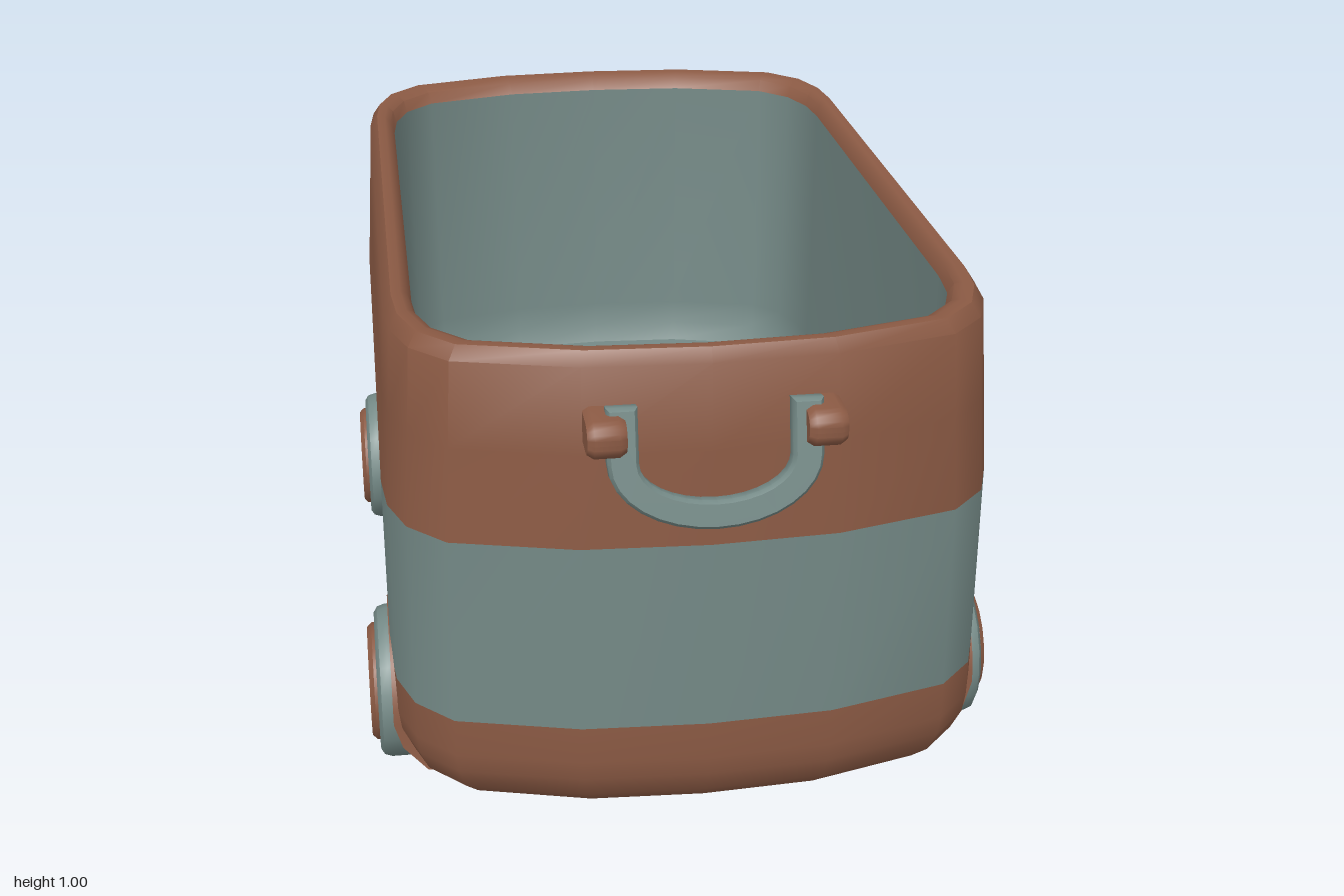
import * as THREE from 'three';
import { toCreasedNormals } from 'three/addons/utils/BufferGeometryUtils.js';

const brown = new THREE.MeshStandardMaterial({ color: 0x8b5a44 });
const teal = new THREE.MeshStandardMaterial({ color: 0x748986 });

function part(name, geometry, material, crease = 0.65) {
  const mesh = new THREE.Mesh(toCreasedNormals(geometry, crease), material);
  mesh.name = name;
  return mesh;
}

// Footprint of the tub: one quarter, mirrored into a closed ring (+x towards +z)
const HX = 0.577, HZ = 0.935;
const quarter = [[HX, 0.6], [0.568, 0.7], [0.536, 0.79], [0.466, 0.862], [0.235, 0.922], [0, HZ]];
const half = [...quarter, ...quarter.slice(0, -1).reverse().map(([x, z]) => [-x, z])];
const ring = [...half, ...half.map(([x, z]) => [-x, -z])];

// Skin through rings given as [inset, height, inset along z]; an inset of null closes to the centre
function loft(profile) {
  const pos = [], index = [], n = ring.length;
  for (const [d, y, dz = d] of profile) {
    const sx = d === null ? 0 : (HX - d) / HX;
    const sz = d === null ? 0 : (HZ - dz) / HZ;
    for (const [x, z] of ring) pos.push(x * sx, y, z * sz);
  }
  for (let j = 0; j < profile.length - 1; j++) {
    for (let i = 0; i < n; i++) {
      const k = (i + 1) % n, a = j * n, b = a + n;
      if (profile[j][0] !== null) index.push(a + i, b + i, a + k);
      if (profile[j + 1][0] !== null) index.push(a + k, b + i, b + k);
    }
  }
  const g = new THREE.BufferGeometry();
  g.setAttribute('position', new THREE.Float32BufferAttribute(pos, 3));
  g.setIndex(index);
  return g;
}

function makeTub() {
  const tub = new THREE.Group();
  tub.name = 'tub';
  tub.add(
    part('lowerShell', loft([[null, 0.064], [0.085, 0.064], [0.05, 0.075], [0.022, 0.105], [0.005, 0.15], [0, 0.19], [0, 0.265]]), brown),
    part('middleBand', loft([[0, 0.265], [0, 0.64]]), teal),
    part('upperShellAndRim', loft([[0, 0.64], [0.011, 0.82], [0.021, 0.982], [0.037, 1.007],
      [0.055, 1.007], [0.067, 0.998, 0.077], [0.075, 0.975, 0.095]]), brown),
    part('liner', loft([[0.075, 0.975, 0.095], [0.082, 0.41, 0.11], [0.086, 0.355, 0.117], [0.097, 0.312, 0.134]]), teal),
    part('floor', loft([[0.097, 0.312, 0.134], [null, 0.312]]), teal)
  );
  return tub;
}

// Wheel with its arch, on the +x side, axle at the group's origin height
function makeWheel() {
  const wheel = new THREE.Group();
  wheel.name = 'wheel';
  const turned = (pts) => new THREE.LatheGeometry(pts.map(([r, x]) => new THREE.Vector2(r, x)), 18).rotateZ(-Math.PI / 2);
  wheel.add(
    part('tyre', turned([[0, 0.525], [0.13, 0.525], [0.147, 0.533], [0.153, 0.55], [0.153, 0.585],
      [0.148, 0.6], [0.137, 0.607], [0.125, 0.607], [0.121, 0.595], [0, 0.595]]), teal),
    part('hubCap', turned([[0.117, 0.59], [0.117, 0.613], [0.108, 0.622], [0, 0.622]]), brown)
  );

  // Arch flush with the tub: its outer face curls inwards towards the feet
  const arch = new THREE.Shape();
  arch.moveTo(0.182, -0.1);
  arch.lineTo(0.174, -0.05);
  arch.absarc(0, 0, 0.17, 0, Math.PI, false);
  arch.lineTo(-0.174, -0.05);
  arch.lineTo(-0.182, -0.1);
  arch.closePath();
  const g = new THREE.ExtrudeGeometry(arch, { depth: 0.08, bevelEnabled: false, curveSegments: 9 });
  g.rotateY(Math.PI / 2).translate(0.499, 0, 0);
  const p = g.attributes.position;
  for (let i = 0; i < p.count; i++) {
    const drop = Math.max(0, -p.getY(i));
    if (p.getX(i) > 0.55) p.setX(i, p.getX(i) - 6.3 * drop * drop);
  }
  wheel.add(part('wheelArch', g, brown));
  return wheel;
}

// Carrying handle on the +z end
function makeHandle() {
  const handle = new THREE.Group();
  handle.name = 'handle';

  // U-shaped grip, hung from its pivots and leaning outwards
  const u = new THREE.Shape();
  u.moveTo(0.19, 0.045);
  u.lineTo(0.19, -0.055);
  u.absellipse(0, -0.055, 0.19, 0.125, 0, Math.PI, true);
  u.lineTo(-0.19, 0.045);
  u.lineTo(-0.135, 0.045);
  u.lineTo(-0.135, -0.055);
  u.absellipse(0, -0.055, 0.135, 0.073, Math.PI, Math.PI * 2, false);
  u.lineTo(0.135, 0.045);
  u.closePath();
  const g = new THREE.ExtrudeGeometry(u, {
    depth: 0.024, bevelThickness: 0.008, bevelSize: 0.006, bevelOffset: -0.006, bevelSegments: 1, curveSegments: 8,
  });
  const grip = part('grip', g.translate(0, 0, -0.012), teal);
  grip.position.set(0, 0.875, 0.941);
  grip.rotation.x = -0.22;
  handle.add(grip);

  // Rounded pivot blocks
  for (const s of [-1, 1]) {
    const lug = new THREE.Shape();
    lug.moveTo(0.86, -0.028);
    lug.lineTo(0.96, -0.028);
    lug.absarc(0.96, 0, 0.028, -Math.PI / 2, Math.PI / 2, false);
    lug.lineTo(0.86, 0.028);
    lug.closePath();
    const lg = new THREE.ExtrudeGeometry(lug, {
      depth: 0.045, bevelThickness: 0.012, bevelSize: 0.008, bevelSegments: 1, curveSegments: 6,
    });
    const block = part('pivotBlock', lg.rotateY(-Math.PI / 2).translate(0.0225, 0, 0), brown);
    block.position.set(s * 0.192, 0.875, 0);
    handle.add(block);
  }
  return handle;
}

export function createModel() {
  const model = new THREE.Group();
  model.name = 'wheeledTub';
  model.add(makeTub());

  for (const side of [0, 1]) {
    for (const z of [-0.525, 0.525]) {
      const wheel = makeWheel();
      wheel.position.set(0, 0.156, z);
      wheel.rotation.y = side * Math.PI;
      model.add(wheel);
    }
    const handle = makeHandle();
    handle.rotation.y = side * Math.PI;
    model.add(handle);
  }
  return model;
}
